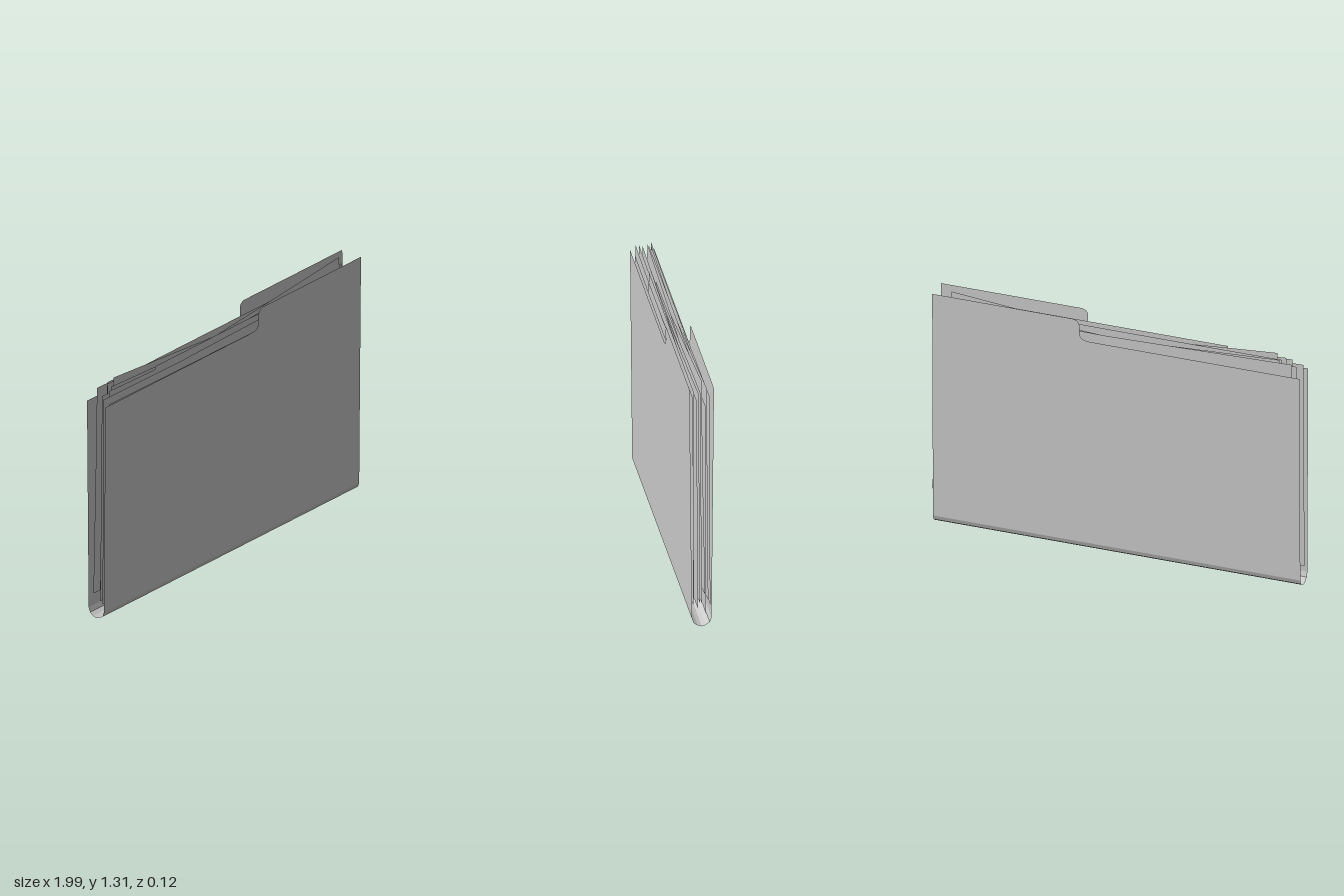
import * as THREE from 'three';

const LEFT = -1, RIGHT = 0.975; // folder edges along x
const FOLD_Y = 0.045, FOLD_Z = 0.05; // where the covers meet the spine
const PAGE_W = 1.48, PAGE_H = 1.14;

const card = new THREE.MeshStandardMaterial({ color: 0xcccccc, side: THREE.DoubleSide, flatShading: true });
const paper = new THREE.MeshStandardMaterial({ color: 0xcccccc, side: THREE.DoubleSide });

function addMesh(group, name, geometry, material) {
  const mesh = new THREE.Mesh(geometry, material);
  mesh.name = name;
  group.add(mesh);
  return mesh;
}

// Cover with a raised, round-cornered tab; it leans slightly outwards
function coverGeometry(side) {
  const s = new THREE.Shape();
  s.moveTo(LEFT, FOLD_Y);
  s.lineTo(RIGHT, FOLD_Y);
  s.lineTo(RIGHT, 1.31);
  s.lineTo(0.225, 1.31);
  s.quadraticCurveTo(0.183, 1.31, 0.183, 1.27);
  s.lineTo(0.183, 1.235);
  s.quadraticCurveTo(0.183, 1.195, 0.13, 1.195);
  s.lineTo(LEFT, 1.195);
  s.closePath();
  const geo = new THREE.ShapeGeometry(s, 8);
  const p = geo.attributes.position;
  for (let i = 0; i < p.count; i++) {
    p.setZ(i, side * (FOLD_Z + 0.012 * (p.getY(i) - FOLD_Y) / (1.31 - FOLD_Y)));
  }
  geo.computeVertexNormals();
  return geo;
}

// Folded spine: a cross-section swept from edge to edge
function spineGeometry() {
  const half = [[FOLD_Z, FOLD_Y], [0.041, 0.02], [0.02, 0.006]];
  const profile = [...half, [0, 0], ...half.map(([z, y]) => [-z, y]).reverse()];
  const pos = [], index = [];
  profile.forEach(([z, y], i) => {
    pos.push(LEFT, y, z, RIGHT, y, z);
    if (i > 0) {
      const a = 2 * (i - 1);
      index.push(a, a + 2, a + 1, a + 1, a + 2, a + 3);
    }
  });
  const geo = new THREE.BufferGeometry();
  geo.setAttribute('position', new THREE.Float32BufferAttribute(pos, 3));
  geo.setIndex(index);
  geo.computeVertexNormals();
  return geo;
}

// Sheet with a faint wave, so the stack looks handled
function pageGeometry(k) {
  const geo = new THREE.PlaneGeometry(PAGE_W, PAGE_H, 12, 8);
  const p = geo.attributes.position;
  for (let i = 0; i < p.count; i++) {
    p.setZ(i, 0.0022 * Math.sin(p.getX(i) * 3 + k) * Math.cos(p.getY(i) * 3 + k * 2));
  }
  geo.computeVertexNormals();
  return geo;
}

// Loose pages, back to front: [side, outer top corner x, its y, tilt]
const PAGES = [
  [1, 0.95, 1.25, 0.015],
  [-1, 0.95, 1.255, 0.02],
  [1, 0.91, 1.28, 0.06],
  [-1, 0.88, 1.265, 0.05],
  [1, 0.96, 1.2, 0.005],
  [-1, 0.89, 1.262, 0],
  [1, 0.89, 1.315, 0.092],
  [-1, 0.86, 1.29, 0.075],
  [1, 0.93, 1.26, 0.03],
  [-1, 0.96, 1.225, 0.01],
  [1, 0.92, 1.262, 0.045],
  [-1, 0.9, 1.26, 0.04],
  [1, 0.95, 1.23, 0.01],
  [-1, 0.93, 1.25, 0.03],
  [1, 0.9, 1.26, 0],
  [-1, 0.985, 1.225, 0.005],
  [1, 0.94, 1.25, 0.02],
  [-1, 0.95, 1.19, 0.005],
];

export function createModel() {
  const model = new THREE.Group();
  model.name = 'folder';

  addMesh(model, 'frontCover', coverGeometry(1), card);
  addMesh(model, 'backCover', coverGeometry(-1), card);
  addMesh(model, 'spine', spineGeometry(), card);

  const pages = new THREE.Group();
  pages.name = 'pages';
  PAGES.forEach(([side, x, y, tilt], k) => {
    const page = addMesh(pages, 'page', pageGeometry(k), paper);
    const c = Math.cos(tilt), s = Math.sin(tilt);
    // Place the sheet's centre from its outer top corner
    page.position.set(
      side * (x - (c * PAGE_W - s * PAGE_H) / 2),
      y - (s * PAGE_W + c * PAGE_H) / 2,
      -0.045 + 0.09 * k / (PAGES.length - 1)
    );
    page.rotation.z = side * tilt;
  });
  model.add(pages);
  return model;
}
